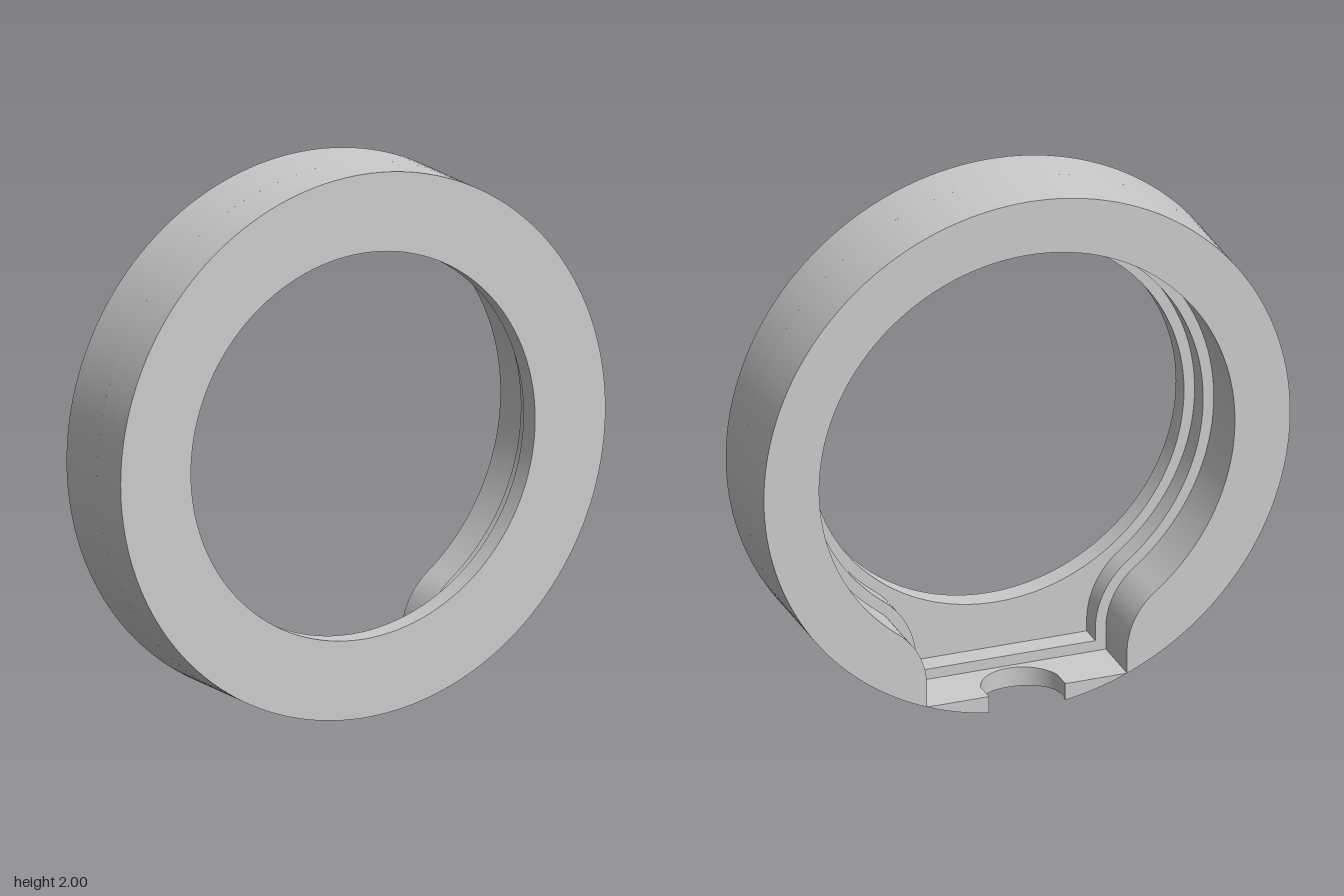
import * as THREE from 'three';
import { toCreasedNormals } from 'three/addons/utils/BufferGeometryUtils.js';

const BACK = -0.1875, LEDGE1 = 0.0215, LEDGE2 = 0.1065, FRONT = 0.1875;
const BORE = 0.79, STEP = 0.04;           // rear bore radius, inset of each ledge
const NOTCH = 0.38, FLOOR = -Math.sqrt(1 - NOTCH * NOTCH);
const FILLET = 0.28;                      // rounding between bore and notch
const CREASE = 0.3;

const material = new THREE.MeshStandardMaterial({ color: 0xcccccc });

function arc(cx, cy, r, from, to, n) {
  return Array.from({ length: n + 1 }, (_, i) => {
    const a = from + (to - from) * i / n;
    return new THREE.Vector2(cx + r * Math.cos(a), cy + r * Math.sin(a));
  });
}

// Bore outline with the bottom notch, inset by a given amount
function boreOutline(inset) {
  const cx = NOTCH + FILLET;
  const cy = -Math.sqrt((BORE + FILLET) ** 2 - cx * cx);
  const tangent = Math.atan2(cy, cx);
  const half = [
    new THREE.Vector2(NOTCH - inset, FLOOR + inset),
    ...arc(cx, cy, FILLET + inset, Math.PI, tangent + Math.PI, 16),
    ...arc(0, 0, BORE - inset, tangent, Math.PI / 2, 64).slice(1),
  ];
  const mirrored = half.slice(0, -1).reverse().map(p => new THREE.Vector2(-p.x, p.y));
  return [...half, ...mirrored];
}

function layer(name, shape, z0, z1) {
  const geometry = new THREE.ExtrudeGeometry(shape, { depth: z1 - z0, bevelEnabled: false });
  geometry.translate(0, 1, z0);
  const mesh = new THREE.Mesh(toCreasedNormals(geometry, CREASE), material);
  mesh.name = name;
  return mesh;
}

// Full disc with one opening
function ringShape(opening) {
  const shape = new THREE.Shape(arc(0, 0, 1, 0, Math.PI * 2, 160).slice(0, -1));
  shape.holes.push(new THREE.Path(opening));
  return shape;
}

// Thin floor of the notch, cut by a round hole that opens to the back
function notchFloor() {
  const r = 0.15, inset = 0.04, a = Math.asin(inset / r), mouth = r * Math.cos(a);
  const edge = [];
  for (let i = 0; i < 12; i++) edge.push(new THREE.Vector2(-NOTCH + (NOTCH - mouth) * i / 12, BACK));
  const right = edge.map(p => new THREE.Vector2(-p.x, p.y)).reverse();
  edge.push(...arc(0, BACK + inset, r, Math.PI + a, -a, 40), ...right);

  const positions = [], indices = [];
  edge.forEach(({ x, y: z }, i) => {
    const bottom = 1 - Math.sqrt(1 - x * x), top = 1 + FLOOR;
    positions.push(x, bottom, z, x, top, z, x, top, LEDGE1, x, bottom, LEDGE1);
    if (i === edge.length - 1) return;
    for (let k = 0; k < 4; k++) {
      const p = i * 4 + k, q = i * 4 + (k + 1) % 4;
      indices.push(p, q, q + 4, p, q + 4, p + 4);
    }
  });
  const geometry = new THREE.BufferGeometry();
  geometry.setAttribute('position', new THREE.Float32BufferAttribute(positions, 3));
  geometry.setIndex(indices);
  const mesh = new THREE.Mesh(toCreasedNormals(geometry, CREASE), material);
  mesh.name = 'notchFloor';
  return mesh;
}

export function createModel() {
  const group = new THREE.Group();
  group.name = 'steppedRing';

  // Rear layer: open at the bottom where the notch breaks through
  const tip = Math.atan2(FLOOR, NOTCH);
  const outer = arc(0, 0, 1, Math.PI - tip, tip, 150).slice(1, -1);
  const rear = new THREE.Shape([...boreOutline(0), ...outer]);
  group.add(layer('rearRing', rear, BACK, LEDGE1));
  group.add(notchFloor());

  // Middle ledge follows the notch; front lip is a plain ring
  group.add(layer('middleLedge', ringShape(boreOutline(STEP)), LEDGE1, LEDGE2));
  const lip = arc(0, 0, BORE - 2 * STEP, 0, Math.PI * 2, 128).slice(0, -1);
  group.add(layer('frontLip', ringShape(lip), LEDGE2, FRONT));
  return group;
}
